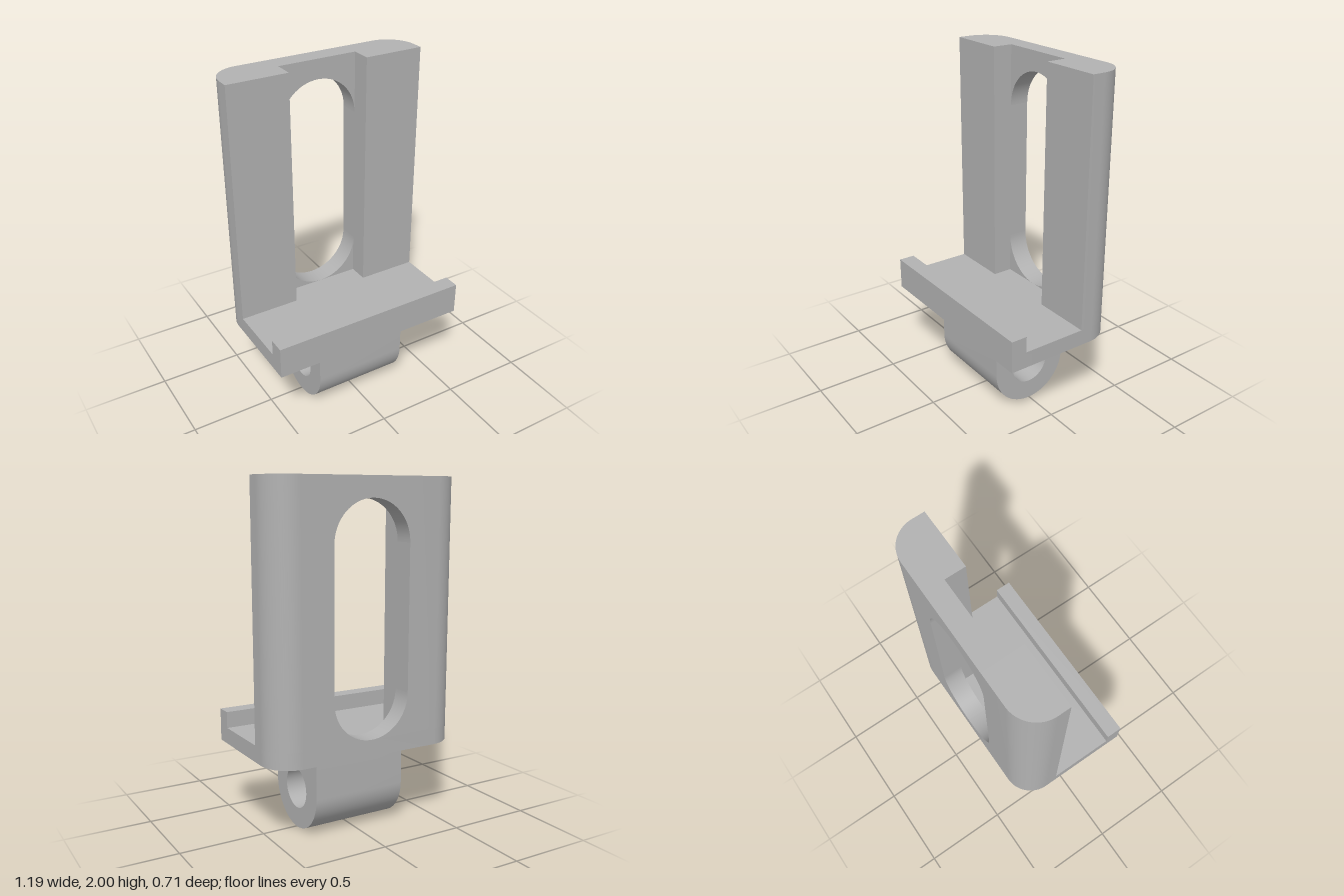
import * as THREE from 'three';
import { toCreasedNormals } from 'three/addons/utils/BufferGeometryUtils.js';

const W = 0.595, D = 0.357;          // half width, half depth
const R = 0.167;                     // rear corner radius
const SLOT = 0.238, RECESS_Z = -0.238, FACE_Z = -0.119;
const BASE_Y = 0.48, FLOOR_Y = 0.575, TOP_Y = 2;

export function createModel() {
  const model = new THREE.Group();
  model.name = 'slottedBracket';
  const grey = new THREE.MeshStandardMaterial({ color: 0xb2b2b2 });
  grey.name = 'plainGrey';

  const add = (name, geometry) => {
    const mesh = new THREE.Mesh(geometry, grey);
    mesh.name = name;
    model.add(mesh);
  };
  const extrude = (shape, depth) => new THREE.ExtrudeGeometry(shape, {
    depth, bevelEnabled: false, curveSegments: 24,
  });
  const smooth = (geometry) => toCreasedNormals(geometry, 0.5);
  // Plan outlines use y = -z and are extruded upwards
  const extrudeUp = (shape, y0, y1) =>
    smooth(extrude(shape, y1 - y0).rotateX(-Math.PI / 2).translate(0, y0, 0));
  // Points along an arc
  const arc = (cx, cy, r, a0, a1, n = 24) => Array.from({ length: n + 1 }, (_, i) => {
    const a = a0 + (a1 - a0) * i / n;
    return new THREE.Vector2(cx + r * Math.cos(a), cy + r * Math.sin(a));
  });
  const v = (x, y) => new THREE.Vector2(x, y);
  const mirror = (points, side) => new THREE.Shape(points.map((p) => v(p.x * side, p.y)));

  // Base plate with rounded rear corners
  add('basePlate', extrudeUp(new THREE.Shape([
    v(-W, -D), v(W, -D),
    ...arc(W - R, D - R, R, 0, Math.PI / 2),
    ...arc(-W + R, D - R, R, Math.PI / 2, Math.PI),
  ]), BASE_Y, FLOOR_Y));

  // Raised lip along the front edge
  const lip = 0.095;
  add('frontLip', new THREE.BoxGeometry(2 * W, lip, lip)
    .translate(0, FLOOR_Y + lip / 2, D - lip / 2));

  // Thick uprights and the lower corners of the slot, mirrored
  const webDepth = RECESS_Z + D;
  const lowY = FLOOR_Y + SLOT;
  for (const [side, label] of [[1, 'left'], [-1, 'right']]) {
    add(label + 'Upright', extrudeUp(mirror([
      v(SLOT, -FACE_Z), v(W, -FACE_Z),
      ...arc(W - R, D - R, R, 0, Math.PI / 2),
      v(SLOT, D),
    ], side), FLOOR_Y, TOP_Y));
    add(label + 'SlotCorner', smooth(extrude(mirror([
      v(SLOT, FLOOR_Y),
      ...arc(0, lowY, SLOT, 0, -Math.PI / 2),
    ], side), webDepth).translate(0, 0, -D)));
  }

  // Thin web closing the slot with a round arch
  add('slotArch', smooth(extrude(new THREE.Shape([
    v(SLOT, TOP_Y), v(-SLOT, TOP_Y),
    ...arc(0, 1.647, SLOT, Math.PI, 0, 40),
  ]), webDepth).translate(0, 0, -D)));

  // Hinge lug below, with a cross hole along x
  const lugR = 0.238, lugHalf = 0.285;
  const lug = new THREE.Shape([
    v(lugR, BASE_Y), v(-lugR, BASE_Y),
    ...arc(0, lugR, lugR, Math.PI, 2 * Math.PI, 40),
  ]);
  lug.holes.push(new THREE.Path().absarc(0, lugR, 0.12, 0, 2 * Math.PI, true));
  add('hingeLug', smooth(extrude(lug, 2 * lugHalf)
    .translate(0, 0, -lugHalf).rotateY(Math.PI / 2)));

  return model;
}
